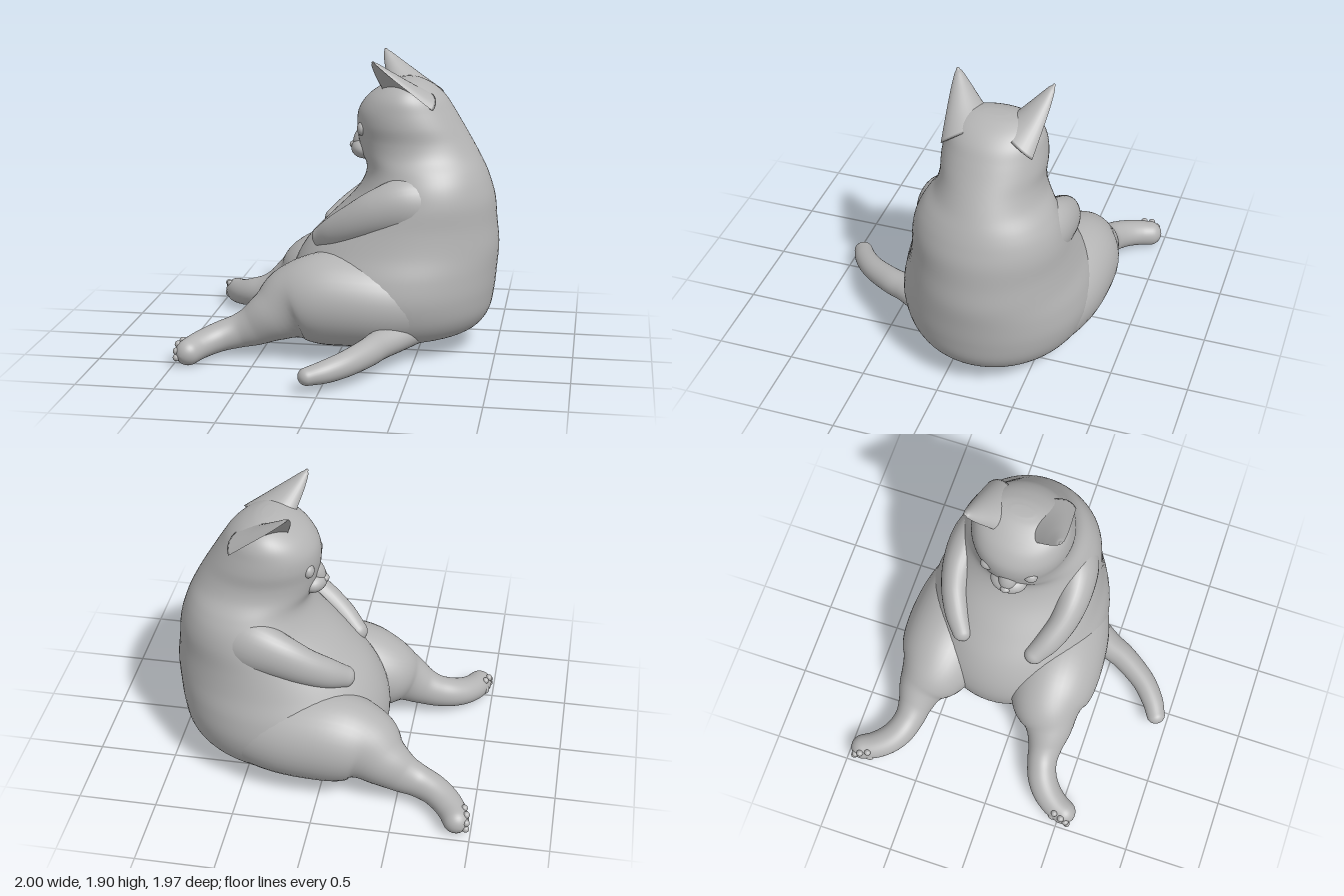
import * as THREE from 'three';

const MID = -0.19; // z of the cat's plane of symmetry; it looks toward -x
const V = (x, y, z) => new THREE.Vector3(x, y, z);
const fur = new THREE.MeshStandardMaterial({ color: 0xb4b4b4 });
fur.name = 'greyFur';

// Closed smooth skin over rings of points; flip mirrors it across the plane of symmetry
function skin(rings, flip) {
  const n = rings[0].length, pos = [], idx = [];
  const tri = (a, b, c) => (flip ? idx.push(a, c, b) : idx.push(a, b, c));
  const add = p => pos.push(p.x, p.y, MID + (flip ? -p.z : p.z));
  rings.forEach(r => r.forEach(add));
  for (let i = 0; i < rings.length - 1; i++) {
    for (let j = 0; j < n; j++) {
      const k = (j + 1) % n, a = i * n, b = a + n;
      tri(a + j, b + j, a + k);
      tri(a + k, b + j, b + k);
    }
  }
  // End caps
  const last = (rings.length - 1) * n, c0 = rings.length * n, c1 = c0 + 1;
  [rings[0], rings[rings.length - 1]].forEach(r =>
    add(r.reduce((s, p) => s.add(p), V(0, 0, 0)).divideScalar(n)));
  for (let j = 0; j < n; j++) {
    const k = (j + 1) % n;
    tri(c0, j, k);
    tri(c1, last + k, last + j);
  }
  const g = new THREE.BufferGeometry();
  g.setAttribute('position', new THREE.Float32BufferAttribute(pos, 3));
  g.setIndex(idx);
  g.computeVertexNormals();
  return g;
}

// Tapering limb from sections [x, y, sideways, radius up, radius across], with a round tip
function limb(sections, flip, { side = null, dent = 1, steps = 36, n = 32 } = {}) {
  const path = new THREE.CatmullRomCurve3(sections.map(s => V(s[0], s[1], s[2])), false, 'catmullrom');
  const size = new THREE.CatmullRomCurve3(sections.map(s => V(s[3], s[4], 0)), false, 'catmullrom');
  const rings = [];
  const ring = (t, scale, push) => {
    const T = path.getTangent(t), c = path.getPoint(t), r = size.getPoint(t);
    const S = side ? side.clone().normalize() : T.clone().cross(V(0, 1, 0)).normalize();
    const N = S.clone().cross(T).normalize();
    c.addScaledVector(T, push * Math.min(r.x, r.y));
    rings.push(Array.from({ length: n }, (_, j) => {
      const a = j / n * Math.PI * 2, up = Math.sin(a) * (Math.sin(a) > 0 ? dent : 1);
      return c.clone().addScaledVector(S, Math.cos(a) * r.y * scale).addScaledVector(N, up * r.x * scale);
    }));
  };
  for (let i = 0; i <= steps; i++) ring(i / steps, 1, 0);
  for (let i = 1; i <= 8; i++) {
    const a = i / 8 * 1.5;
    ring(1, Math.cos(a), Math.sin(a));
  }
  return skin(rings, flip);
}

// Torso and head: [height, front x, back x, half width]
const TRUNK = [
  [0.085, -0.10, 0.50, 0.30], [0.11, -0.27, 0.74, 0.45], [0.16, -0.34, 0.87, 0.52], [0.26, -0.37, 0.945, 0.58],
  [0.40, -0.375, 0.975, 0.61], [0.55, -0.335, 0.99, 0.59], [0.70, -0.25, 1.0, 0.54], [0.85, -0.11, 0.985, 0.505],
  [1.0, 0.04, 0.97, 0.48], [1.11, 0.115, 0.94, 0.45], [1.2, 0.135, 0.905, 0.405], [1.29, 0.1, 0.86, 0.345],
  [1.38, 0.08, 0.81, 0.322], [1.48, 0.07, 0.75, 0.325], [1.57, 0.085, 0.695, 0.315], [1.65, 0.14, 0.64, 0.295],
  [1.71, 0.22, 0.57, 0.25], [1.75, 0.30, 0.49, 0.17], [1.765, 0.36, 0.43, 0.07],
];
function trunk() {
  const ends = new THREE.CatmullRomCurve3(TRUNK.map(s => V(s[1], s[0], s[2])), false, 'catmullrom');
  const width = new THREE.CatmullRomCurve3(TRUNK.map(s => V(s[3], 0, 0)), false, 'catmullrom');
  const rings = [];
  for (let i = 0; i <= 108; i++) {
    const e = ends.getPoint(i / 108), w = width.getPoint(i / 108).x;
    rings.push(Array.from({ length: 64 }, (_, j) => {
      const a = j / 64 * Math.PI * 2;
      return V((e.x + e.z) / 2 + Math.cos(a) * (e.z - e.x) / 2, e.y, Math.sin(a) * w);
    }));
  }
  return skin(rings, false);
}

const LEG = [
  [0.62, 0.34, 0.22, 0.20, 0.22], [0.42, 0.36, 0.31, 0.265, 0.27], [0.2, 0.38, 0.365, 0.295, 0.295],
  [-0.08, 0.385, 0.385, 0.30, 0.295], [-0.28, 0.345, 0.40, 0.25, 0.25], [-0.42, 0.27, 0.45, 0.175, 0.165],
  [-0.53, 0.205, 0.465, 0.135, 0.118], [-0.63, 0.165, 0.475, 0.11, 0.1], [-0.73, 0.138, 0.508, 0.098, 0.097],
  [-0.81, 0.115, 0.565, 0.09, 0.095], [-0.87, 0.097, 0.64, 0.085, 0.09], [-0.905, 0.085, 0.715, 0.083, 0.083],
];
const ARM = [
  [0.58, 1.0, 0.29, 0.19, 0.16], [0.42, 1.0, 0.355, 0.185, 0.145], [0.26, 0.96, 0.385, 0.15, 0.115],
  [0.11, 0.89, 0.37, 0.12, 0.095], [-0.02, 0.815, 0.315, 0.1, 0.085], [-0.12, 0.755, 0.25, 0.072, 0.068],
];
const EAR = [
  [0.43, 1.60, 0.16, 0.15, 0.20], [0.355, 1.70, 0.215, 0.10, 0.135],
  [0.275, 1.80, 0.265, 0.06, 0.075], [0.225, 1.87, 0.295, 0.03, 0.032], [0.212, 1.895, 0.303, 0.012, 0.012],
];
const TAIL = [
  [0.5, 0.2, 0.32, 0.1, 0.11], [0.38, 0.18, 0.5, 0.095, 0.11], [0.3, 0.17, 0.65, 0.09, 0.095],
  [0.245, 0.16, 0.78, 0.088, 0.086], [0.14, 0.14, 0.945, 0.08, 0.078], [0.03, 0.12, 1.05, 0.07, 0.072],
  [-0.07, 0.105, 1.11, 0.055, 0.062],
];
// Toe beans and main pad on the sole: [x, y, sideways, radius]
const PADS = [
  [-0.95, 0.145, 0.665, 0.022], [-0.968, 0.135, 0.715, 0.023], [-0.972, 0.1, 0.75, 0.023],
  [-0.972, 0.06, 0.76, 0.022], [-0.945, 0.08, 0.655, 0.035],
];

export function createModel() {
  const cat = new THREE.Group();
  cat.name = 'sittingCat';
  const add = (name, geometry) => {
    const m = new THREE.Mesh(geometry, fur);
    m.name = name;
    cat.add(m);
    return m;
  };
  const ball = (name, x, y, d, rx, ry, rz) => {
    const m = add(name, new THREE.SphereGeometry(1, 32, 20));
    m.position.set(x, y, MID + d);
    m.scale.set(rx, ry, rz);
    return m;
  };

  add('torsoAndHead', trunk());
  add('tail', limb(TAIL, false));

  // Face
  ball('muzzle', 0.12, 1.3, 0, 0.09, 0.07, 0.12);
  ball('noseBridge', 0.1, 1.36, 0, 0.055, 0.09, 0.06).rotation.z = -0.35;
  ball('nose', 0.045, 1.318, 0, 0.027, 0.024, 0.032);

  // Paired parts
  for (const s of [1, -1]) {
    const flip = s < 0, label = flip ? 'far' : 'near';
    add(label + 'HindLeg', limb(LEG, flip, { steps: 60, n: 40 }));
    add(label + 'Arm', limb(ARM, flip));
    add(label + 'Ear', limb(EAR, flip, { side: V(0.78, 0, 0.62), dent: -0.25 }));
    ball(label + 'Eye', 0.122, 1.45, s * 0.14, 0.036, 0.046, 0.046);
    PADS.forEach(([x, y, d, r], i) => ball(label + 'ToePad' + (i + 1), x, y, s * d, r, r, r));
  }
  return cat;
}
